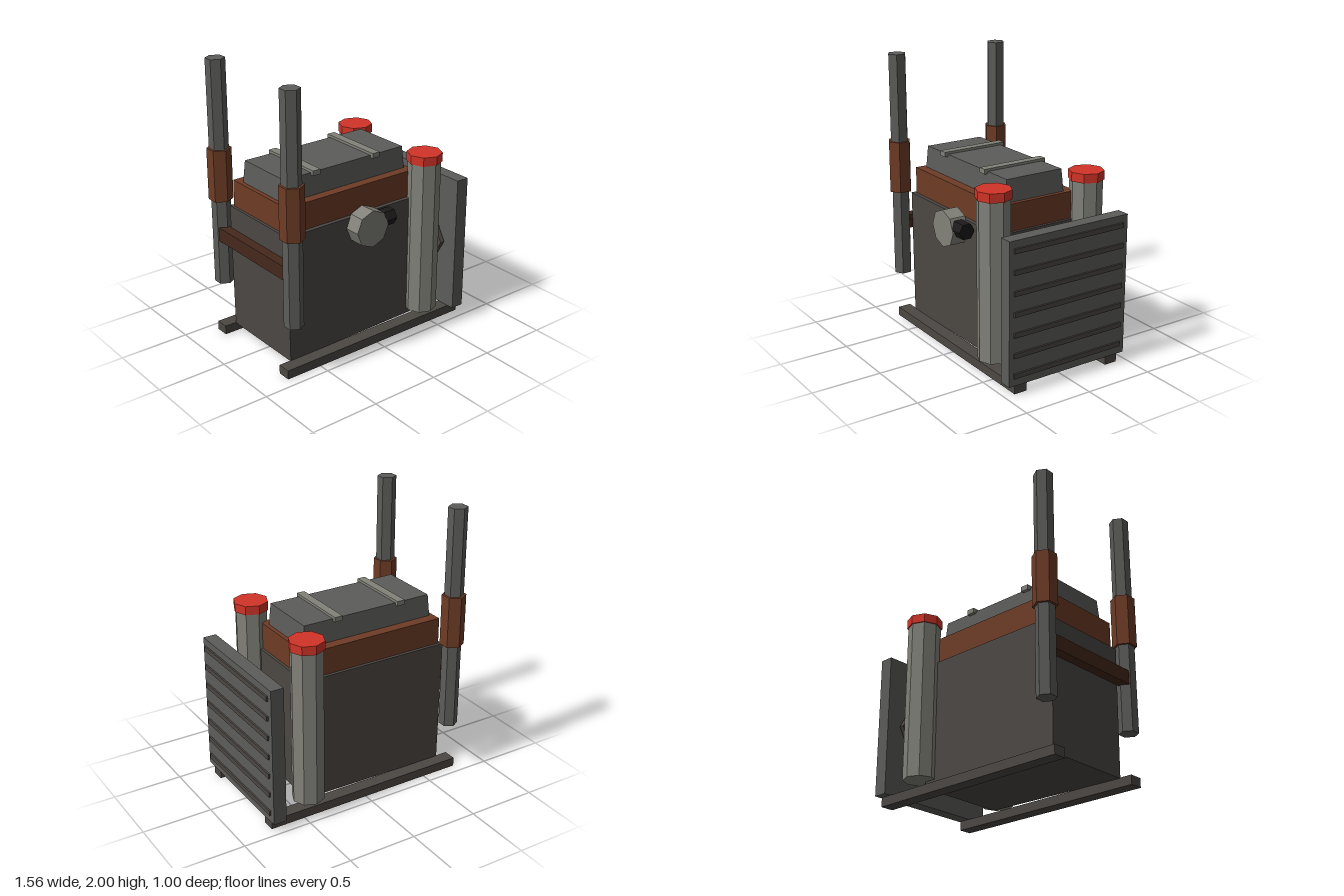
import * as THREE from 'three';

const mat = (color) => new THREE.MeshStandardMaterial({ color, flatShading: true });

export function createModel() {
  const group = new THREE.Group();
  const iron = mat(0x4c4844), steel = mat(0x5c5c5a), pale = mat(0x82827a);
  const rust = mat(0x6e3c26), darkRust = mat(0x45281c), red = mat(0xd23428), black = mat(0x1c1a1a);

  const add = (name, geometry, material) => {
    const mesh = new THREE.Mesh(geometry, material);
    mesh.name = name;
    group.add(mesh);
    return mesh;
  };

  // box given by its [min, max] range on each axis
  const box = (name, material, [x0, x1], [y0, y1], [z0, z1]) => {
    const g = new THREE.BoxGeometry(x1 - x0, y1 - y0, z1 - z0);
    g.translate((x0 + x1) / 2, (y0 + y1) / 2, (z0 + z1) / 2);
    return add(name, g, material);
  };

  // faceted cylinder along the given axis
  const prism = (name, material, r, length, sides, axis, x, y, z) => {
    const g = new THREE.CylinderGeometry(r, r, length, sides);
    if (axis === 'x') g.rotateZ(-Math.PI / 2);
    if (axis === 'z') g.rotateX(Math.PI / 2);
    g.translate(x, y, z);
    return add(name, g, material);
  };

  // moves every corner of a mesh by a rule
  const reshape = (mesh, rule) => {
    const p = mesh.geometry.attributes.position;
    const v = new THREE.Vector3();
    for (let i = 0; i < p.count; i++) {
      rule(v.fromBufferAttribute(p, i));
      p.setXYZ(i, v.x, v.y, v.z);
    }
    mesh.geometry.computeVertexNormals();
  };

  // engine block, its underside rising slightly towards the radiator
  const block = box('engineBlock', iron, [-0.69, 0.43], [0.06, 0.975], [-0.333, 0.33]);
  reshape(block, (v) => {
    if (v.y < 0.5) { v.y += v.x > 0 ? 0.02 : 0; v.x += v.x < 0 ? 0.01 : 0; }
  });

  // cylinder head and tapered top cover with its straps
  box('cylinderHead', rust, [-0.67, 0.41], [0.97, 1.165], [-0.31, 0.3]);
  const cover = box('topCover', steel, [-0.64, 0.38], [1.16, 1.322], [-0.235, 0.232]);
  reshape(cover, (v) => {
    if (v.y > 1.25) { v.x -= Math.sign(v.x) * 0.012; v.z *= 0.95; }
  });
  for (const x of [-0.385, 0.117]) {
    box('coverStrap', pale, [x - 0.03, x + 0.03], [1.305, 1.34], [-0.25, 0.245]);
  }

  // rails, exhaust stacks and capped canisters on both sides
  for (const s of [1, -1]) {
    const rail = s * 0.376 - 0.002;
    box('baseRail', iron, [-0.77, 0.755], [0, 0.065], [rail - 0.048, rail + 0.048]);
    const stackZ = s * 0.413 - 0.003;
    prism('exhaustStack', steel, 0.067, 1.62, 6, 'y', -0.706, 1.19, stackZ);
    prism('stackSleeve', rust, 0.084, 0.37, 6, 'y', -0.706, 1.19, stackZ);
    const canZ = s * 0.375 - 0.003;
    prism('canister', pale, 0.114, 1.13, 8, 'y', 0.441, 0.69, canZ);
    prism('canisterCap', red, 0.123, 0.063, 8, 'y', 0.441, 1.277, canZ);
  }

  // manifold bar joining the two stacks
  box('manifold', darkRust, [-0.757, -0.685], [0.71, 0.81], [-0.41, 0.41]);

  // radiator with its fan and slats
  box('radiator', steel, [0.67, 0.765], [0.065, 1.065], [-0.477, 0.472]);
  prism('fan', iron, 0.374, 0.034, 6, 'x', 0.643, 0.567, -0.003);
  for (let i = 0; i < 7; i++) {
    const y = 0.138 + i * 0.143;
    box('radiatorSlat', iron, [0.755, 0.777], [y - 0.017, y + 0.017], [-0.438, 0.438]);
  }

  // turbo housing with its side inlet
  prism('turboHousing', pale, 0.133, 0.12, 8, 'z', -0.071, 0.902, 0.385);
  prism('turboInlet', black, 0.06, 0.16, 6, 'x', 0.06, 0.927, 0.385);

  return group;
}
